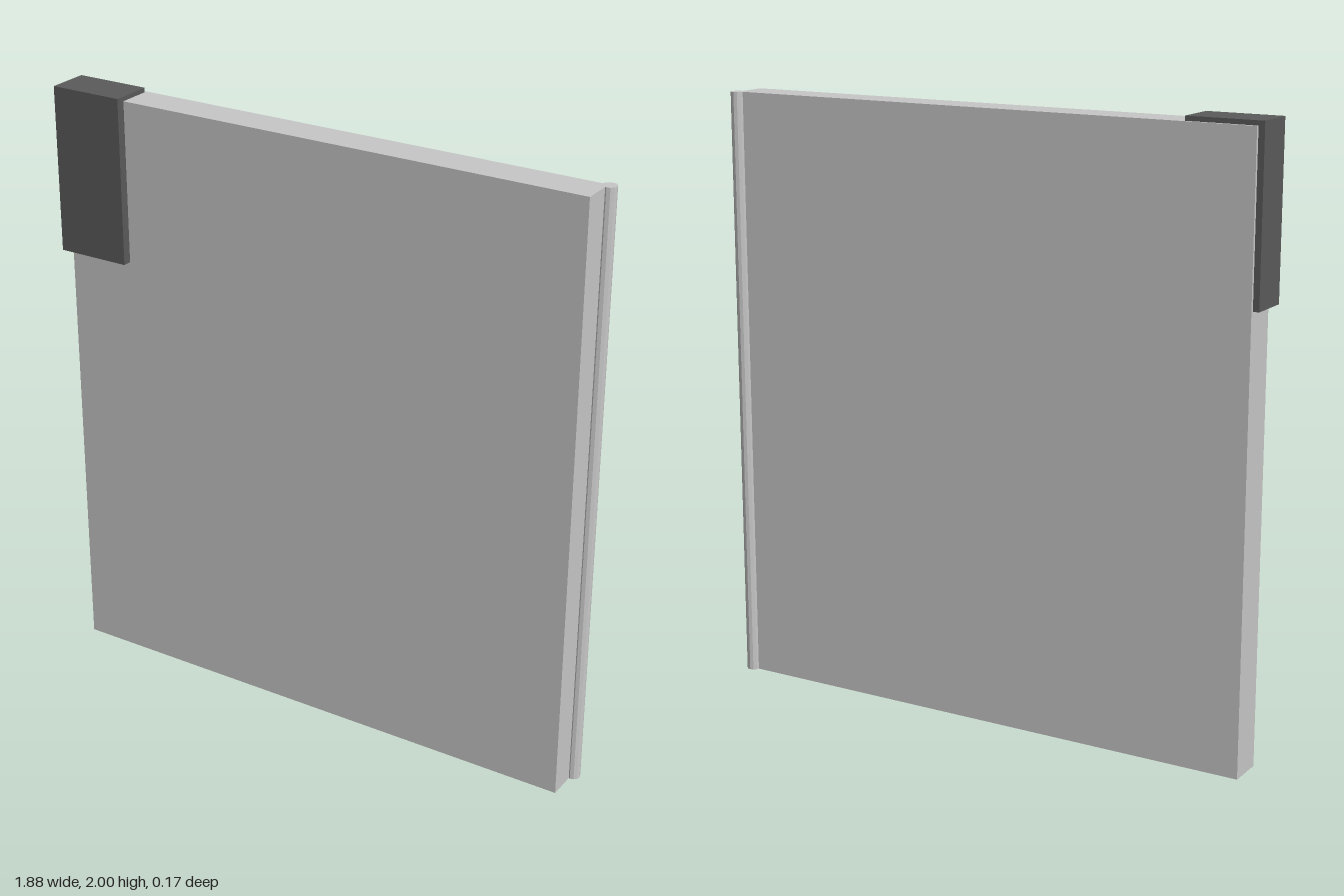
import * as THREE from 'three';

const lightGrey = new THREE.MeshStandardMaterial({ color: 0xc8c8c8, flatShading: true });
lightGrey.name = 'light grey panel';
const darkGrey = new THREE.MeshStandardMaterial({ color: 0x5b5b5b, flatShading: true });
darkGrey.name = 'dark grey lock';

// Box given by its minimum and maximum corners
function box(name, min, max, material) {
  const size = max.map((v, i) => v - min[i]);
  const mesh = new THREE.Mesh(new THREE.BoxGeometry(...size), material);
  mesh.position.set(...max.map((v, i) => (v + min[i]) / 2));
  mesh.name = name;
  return mesh;
}

export function createModel() {
  const model = new THREE.Group();
  model.name = 'door';
  const height = 1.985;

  // Door slab
  model.add(box('doorPanel', [-0.92, 0, -0.065], [0.91, height, 0.055], lightGrey));

  // Lock case wrapped over the upper corner, stopping short of the back face
  model.add(box('lockCase', [-0.94, 1.45, -0.055], [-0.69, 2, 0.085], darkGrey));

  // Full-height hinge pin on the rear left edge
  const hinge = new THREE.Mesh(new THREE.CylinderGeometry(0.023, 0.023, height, 12), lightGrey);
  hinge.position.set(0.914, height / 2, -0.062);
  hinge.name = 'hingePin';
  model.add(hinge);

  return model;
}
